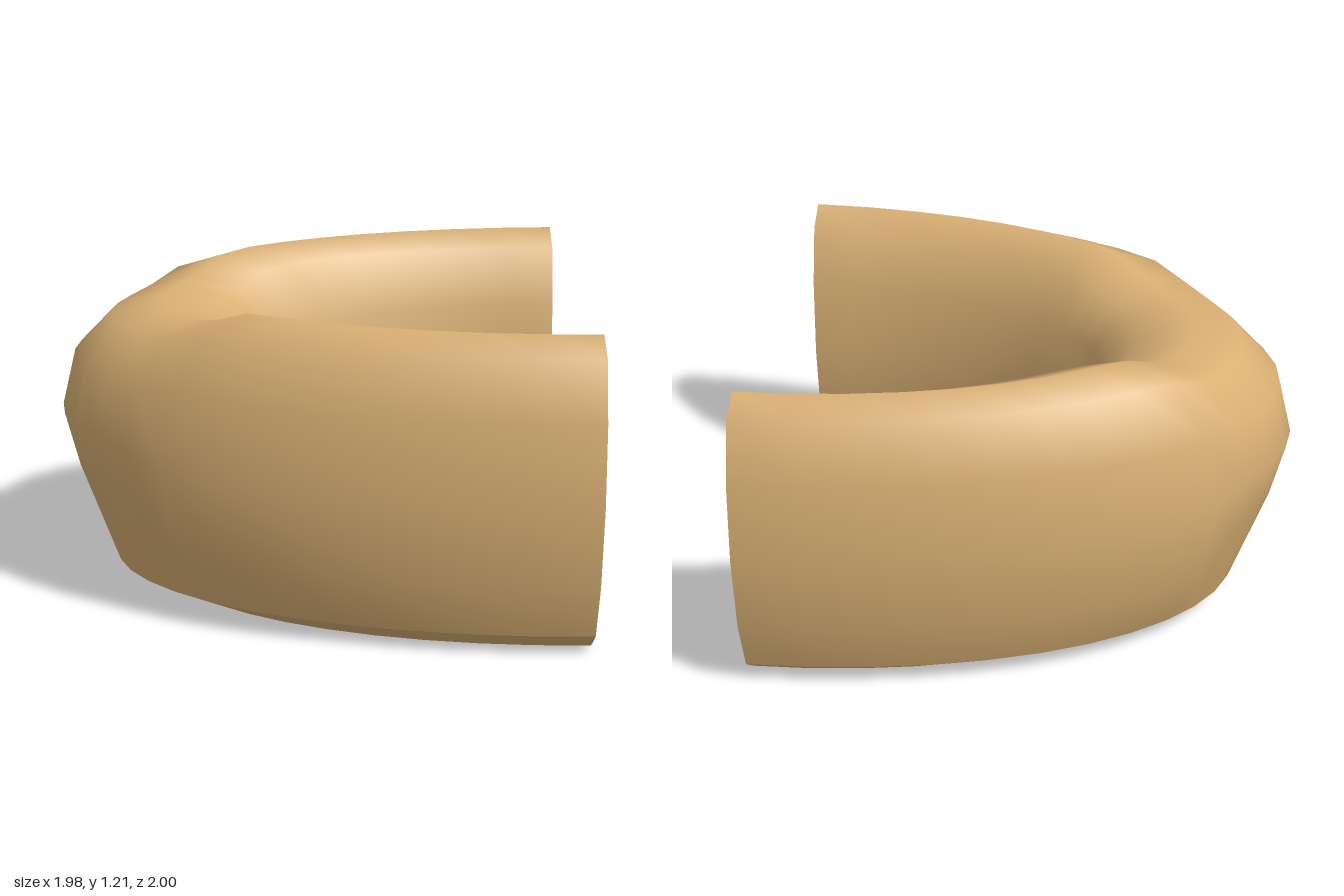
import * as THREE from 'three';

const RINGS = 24, SIDES = 12, MID = 0.605, TUBE = 0.2, BEND = 0.8;
// Heights around the section, from the bottom up the outside, over the crest and down the inside
const arm = [0, 0.08, 0.30, 0.605, 0.91, 1.13, 1.19, 1.13, 0.91, 0.605, 0.30, 0.08, 0];
const apex = [0, 0.08, 0.48, 0.69, 0.91, 1.06, 1.11, 1.06, 0.91, 0.605, 0.30, 0.08, 0];

// Point on the stretched half ring; the section is remodelled around the apex of the bend
function surfacePoint(i, j) {
  const phi = (i / RINGS - 0.5) * Math.PI;
  const t = (j / SIDES) * Math.PI * 2 - Math.PI / 2;
  const r = BEND + TUBE * Math.cos(t);
  const deg = THREE.MathUtils.radToDeg(phi);
  const k = THREE.MathUtils.smoothstep(Math.abs(deg - 3), 21, 37);
  return [0.99 - 1.98 * r * Math.cos(phi), THREE.MathUtils.lerp(apex[j], arm[j], k), r * Math.sin(phi)];
}

// Smooth strip along the bend between two section indices
function strip(from, to) {
  const positions = [], index = [], n = to - from + 1;
  for (let i = 0; i <= RINGS; i++) {
    for (let j = from; j <= to; j++) positions.push(...surfacePoint(i, j));
  }
  for (let i = 0; i < RINGS; i++) {
    for (let j = 0; j < n - 1; j++) {
      const a = i * n + j, b = a + n;
      index.push(a, b, a + 1, b, b + 1, a + 1);
    }
  }
  const geometry = new THREE.BufferGeometry();
  geometry.setAttribute('position', new THREE.Float32BufferAttribute(positions, 3));
  geometry.setIndex(index);
  geometry.computeVertexNormals();
  return geometry;
}

export function createModel() {
  const group = new THREE.Group();
  group.name = 'horseshoeCushion';
  const material = new THREE.MeshStandardMaterial({ color: 0xd9b074 });
  const add = (name, geometry) => {
    const mesh = new THREE.Mesh(geometry, material);
    mesh.name = name;
    group.add(mesh);
  };

  // Rounded body and the two bevels meeting at the bottom edge
  add('body', strip(1, 11));
  add('outerBottomBevel', strip(0, 1));
  add('innerBottomBevel', strip(11, 12));

  // Flat twelve-sided end faces
  for (const side of [1, -1]) {
    const cap = new THREE.CircleGeometry(1, SIDES)
      .scale(TUBE, MID, 1)
      .rotateY(Math.PI / 2)
      .translate(0.99, MID, side * BEND);
    add(side > 0 ? 'frontEndFace' : 'backEndFace', cap);
  }
  return group;
}
